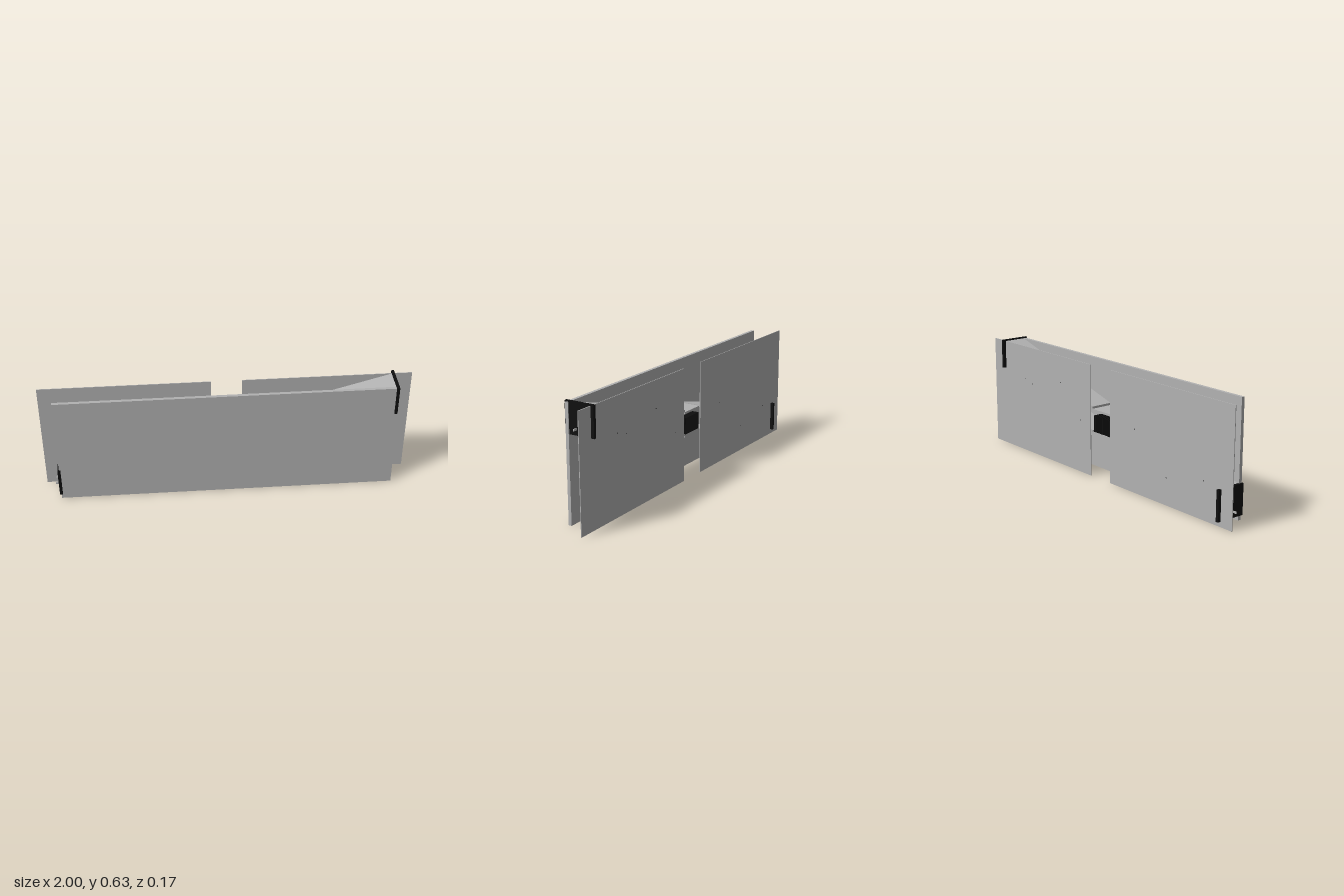
import * as THREE from 'three';

export function createModel() {
  const model = new THREE.Group();
  const grey = new THREE.MeshStandardMaterial({ color: 0xb2b2b2 });
  grey.name = 'panel grey';
  const black = new THREE.MeshStandardMaterial({ color: 0x0e0e0e });
  black.name = 'fan black';

  // Box given by its min and max on each axis
  function box(name, mat, x0, x1, y0, y1, z0, z1) {
    const mesh = new THREE.Mesh(new THREE.BoxGeometry(x1 - x0, y1 - y0, z1 - z0), mat);
    mesh.position.set((x0 + x1) / 2, (y0 + y1) / 2, (z0 + z1) / 2);
    mesh.name = name;
    model.add(mesh);
    return mesh;
  }

  const back = -0.063, front = 0.062, thick = 0.012;

  // Sloping duct wall: a sheared plate with upright ends, given by its top edge
  function ductWall(name, x0, y0, x1, y1) {
    const s = new THREE.Shape([
      new THREE.Vector2(x0, y0 - thick), new THREE.Vector2(x1, y1 - thick),
      new THREE.Vector2(x1, y1), new THREE.Vector2(x0, y0),
    ]);
    const geo = new THREE.ExtrudeGeometry(s, { depth: front - back, bevelEnabled: false });
    geo.translate(0, 0, back);
    const mesh = new THREE.Mesh(geo, grey);
    mesh.name = name;
    model.add(mesh);
  }

  // Large outer panels, the rear one split around the middle
  box('frontPanel', grey, -0.915, 0.91, 0, 0.628, front, 0.08);
  box('rearPanelLeft', grey, 0.085, 1, 0, 0.628, -0.067, back);
  box('rearPanelRight', grey, -1, -0.08, 0, 0.628, -0.067, back);

  // Ducts sloping from the middle to opposite corners
  ductWall('upperDuctTop', 0.072, 0.396, 0.892, 0.628);
  ductWall('upperDuctFloor', 0.072, 0.262, 0.892, 0.479);
  ductWall('lowerDuctTop', -0.907, 0.193, -0.083, 0.385);
  ductWall('lowerDuctFloor', -0.907, 0.048, -0.083, 0.255);

  // Middle chamber with its finned core
  box('chamberTop', grey, -0.075, 0.072, 0.372, 0.384, back, front);
  box('chamberFloor', grey, -0.083, 0.072, 0.243, 0.255, back, front);
  box('coreBase', black, -0.072, 0.068, 0.255, 0.325, -0.056, 0.058);
  const fins = 14;
  for (let i = 0; i < fins; i++) {
    const x = -0.072 + i * 0.01;
    box('coreFin', black, x, x + 0.006, 0.255, 0.348, -0.06, 0.06);
  }

  // Square fans at the duct mouths, each with two contact pegs
  for (const [side, x0, x1, y0] of [[1, 0.889, 0.905, 0.468], [-1, -0.923, -0.907, 0.027]]) {
    box('fan', black, x0, x1, y0, y0 + 0.166, -0.084, 0.085);
    for (const z of [0.02, -0.025]) {
      const a = side > 0 ? x1 : x0 - 0.022;
      box('fanPeg', grey, a, a + 0.022, y0 + 0.027, y0 + 0.037, z - 0.003, z + 0.003);
    }
  }

  // Small fixing points on the rear panels
  const points = [[0.695, 0.438], [0.62, 0.417], [0.356, 0.477], [0.175, 0.298],
    [-0.282, 0.35], [-0.53, 0.149], [-0.8, 0.205]];
  for (const [x, y] of points) {
    box('fixingPoint', black, x - 0.002, x + 0.002, y - 0.002, y + 0.002, -0.068, -0.066);
  }

  return model;
}
